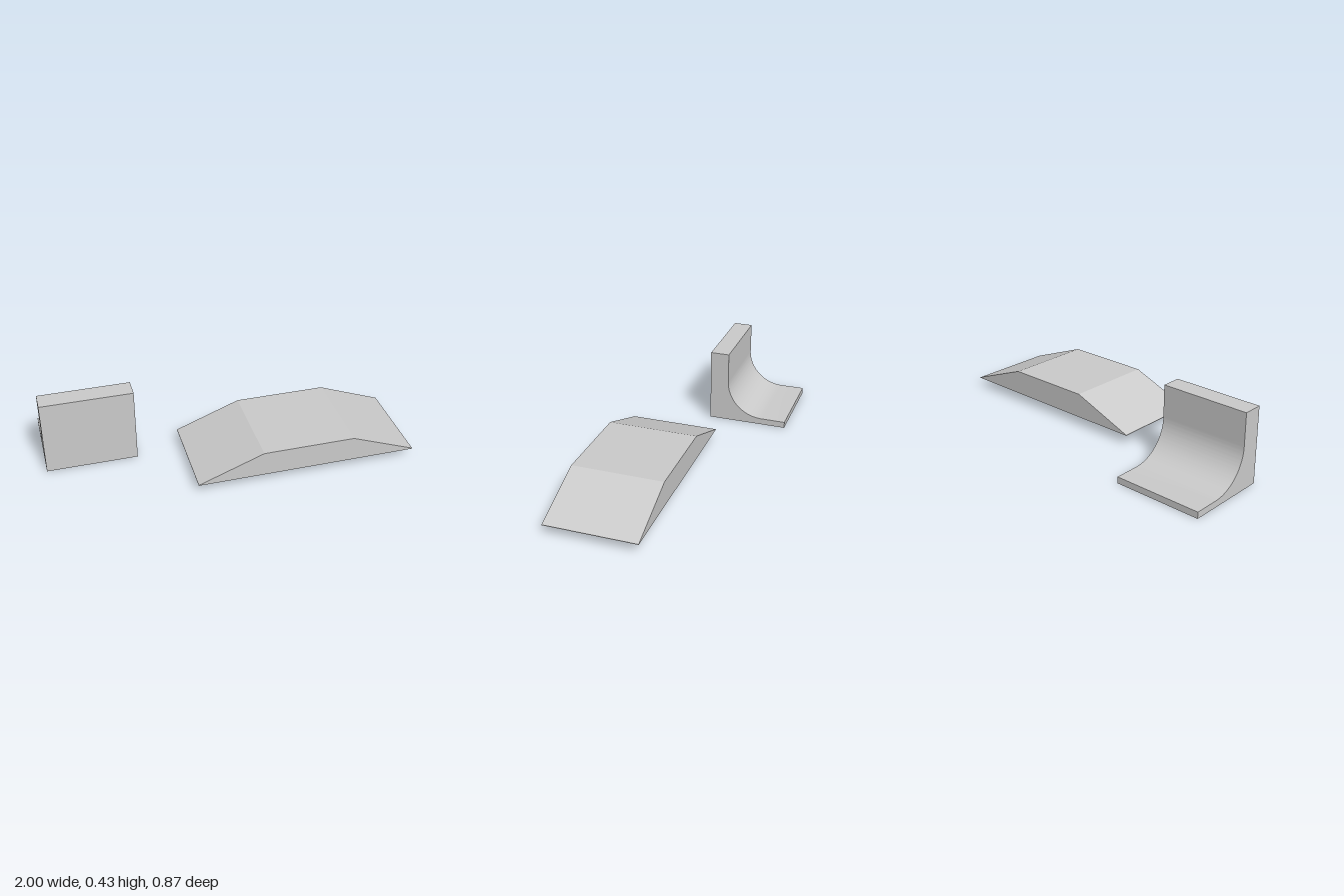
import * as THREE from 'three';
import { toCreasedNormals } from 'three/addons/utils/BufferGeometryUtils.js';

const material = new THREE.MeshStandardMaterial({ color: 0xcccccc });

// Extrude a side profile, keeping hard corners sharp and curves smooth
function extrudeProfile(name, shape, depth) {
  const geometry = new THREE.ExtrudeGeometry(shape, { depth, bevelEnabled: false, curveSegments: 24 });
  const mesh = new THREE.Mesh(toCreasedNormals(geometry, Math.PI / 9), material);
  mesh.name = name;
  return mesh;
}

// Quarter pipe: upright wall sweeping down into a thin floor (profile in z, y)
function createQuarterPipe() {
  const front = 0.033, wallBack = -0.078, back = -0.437;
  const top = 0.432, floor = 0.037, curveTop = 0.252, curveEnd = -0.295;
  const shape = new THREE.Shape();
  shape.moveTo(front, 0);
  shape.lineTo(front, top);
  shape.lineTo(wallBack, top);
  shape.lineTo(wallBack, curveTop);
  shape.absellipse(curveEnd, curveTop, wallBack - curveEnd, curveTop - floor, 0, -Math.PI / 2, true);
  shape.lineTo(back, floor);
  shape.lineTo(back, 0);
  shape.closePath();
  const mesh = extrudeProfile('quarterPipe', shape, 0.51);
  mesh.geometry.rotateY(-Math.PI / 2);
  mesh.position.x = -0.49;
  return mesh;
}

// Flat-topped box with a sloping ramp at each end and a tiny lip (profile in x, y)
function createFunBox() {
  const shape = new THREE.Shape([
    [-0.235, 0.055], [1, 0.055], [1, 0.058],
    [0.638, 0.198], [0.127, 0.198], [-0.235, 0.058],
  ].map(([x, y]) => new THREE.Vector2(x, y)));
  const mesh = extrudeProfile('doubleRamp', shape, 0.518);
  mesh.position.z = -0.081;
  return mesh;
}

export function createModel() {
  const group = new THREE.Group();
  group.name = 'skateRamps';
  group.add(createQuarterPipe(), createFunBox());
  return group;
}
